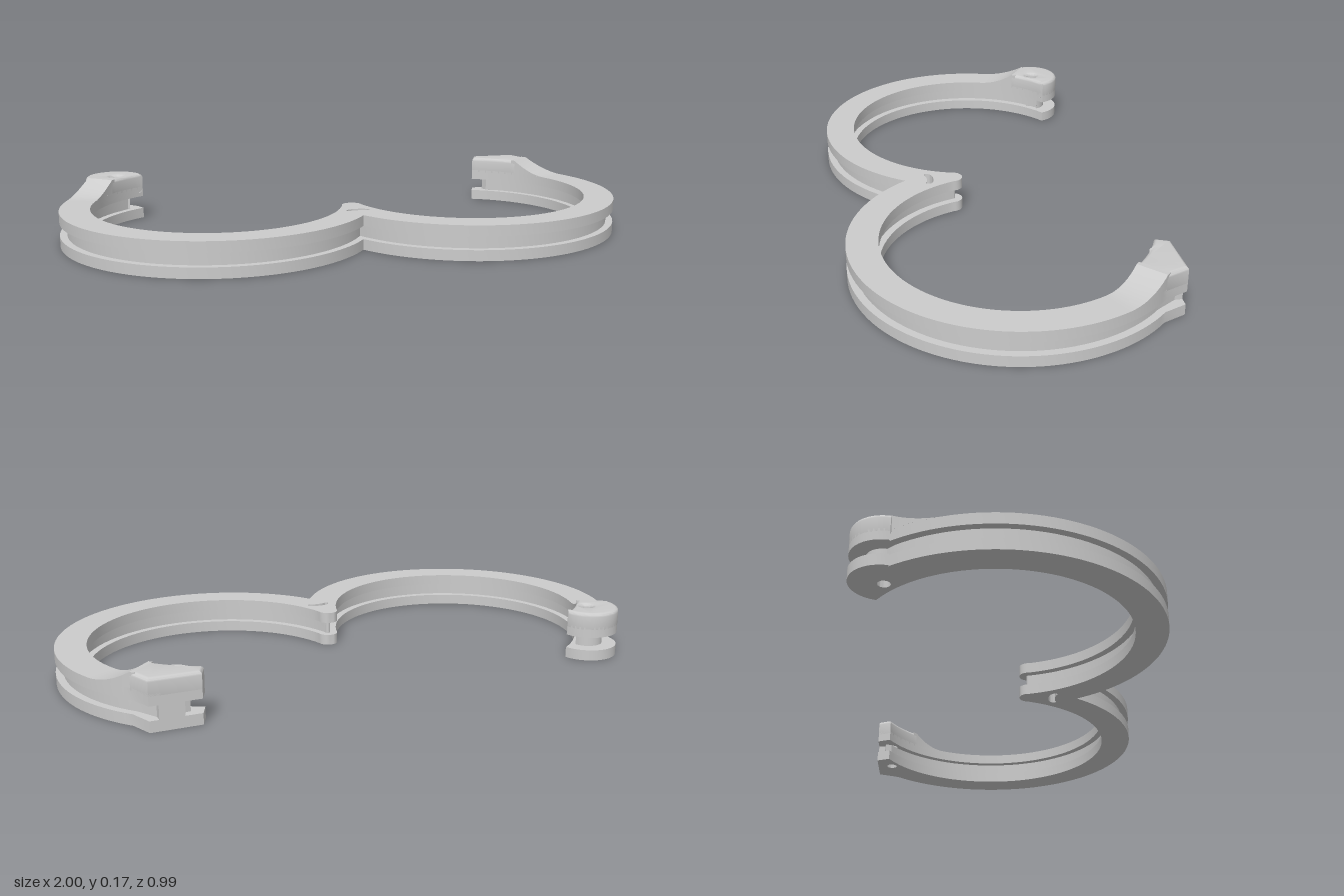
import * as THREE from 'three';
import { toCreasedNormals } from 'three/addons/utils/BufferGeometryUtils.js';

const CX = 0.455, CZ = -0.05, OUTER = 0.545, INNER = 0.44;
const LEVELS = [0, 0.037, 0.083, 0.12];
const HEAD_TOP = 0.17;
const ROUND_HOLE = [-0.795, -0.388], SQUARE_HOLE = [0.72, -0.445];
const rad = THREE.MathUtils.degToRad;
const material = new THREE.MeshStandardMaterial({ color: 0xcccccc });

// Points along an arc in the ground plane (x, z), angles in degrees
function arc(cx, cz, r, from, to, n) {
  return Array.from({ length: n + 1 }, (_, i) => {
    const a = rad(from + (to - from) * i / n);
    return new THREE.Vector2(cx + r * Math.cos(a), cz + r * Math.sin(a));
  });
}
const points = list => list.map(([x, z]) => new THREE.Vector2(x, z));

function drill(shape, [x, z], r) {
  shape.holes.push(new THREE.Path().absarc(x, z, r, 0, Math.PI * 2, true));
}

// Outline of both rings, drawn in by d on the curved sides
function ringShape(d, squareEnd, squareAngle) {
  const ro = OUTER - d, ri = INNER + d;
  const cusp = THREE.MathUtils.radToDeg(Math.acos(CX / ro));
  const tip = THREE.MathUtils.radToDeg(Math.asin(0.13 / ri));
  const tipR = CX - ri * Math.cos(rad(tip));
  const pts = [
    ...arc(-CX, CZ, ro, cusp, 216, 64),
    ...arc(-0.8, -0.39, 0.105 - 2 * d, 168, 345, 20),
    ...arc(-CX, CZ, ri, 236.7 - 270 * d, tip, 64),
    ...arc(0, 0.08, tipR, 185, 355, 12),
    ...arc(CX, CZ, ri, 180 - tip, squareAngle, 64),
    ...points(squareEnd),
    ...arc(CX, CZ, ro, -43.5, 180 - cusp, 64).slice(0, -1)
  ];
  const shape = new THREE.Shape(pts);
  drill(shape, ROUND_HOLE, 0.02);
  drill(shape, SQUARE_HOLE, 0.02);
  // Crescent slot behind the cusp
  const w = d > 0 ? 0.026 : 0.04;
  const slot = new THREE.Path();
  slot.moveTo(-w, 0.174);
  slot.quadraticCurveTo(-w, 0.149, 0, 0.149);
  slot.quadraticCurveTo(w, 0.149, w, 0.174);
  slot.quadraticCurveTo(w * 0.8, 0.182, w * 0.6, 0.175);
  slot.quadraticCurveTo(0, 0.169, -w * 0.6, 0.175);
  slot.quadraticCurveTo(-w * 0.8, 0.182, -w, 0.174);
  shape.holes.push(slot);
  return shape;
}

// Extrude a ground-plane shape between two heights, optionally with rounded edges
function slab(name, shape, y0, y1, bevel = 0) {
  const geo = new THREE.ExtrudeGeometry(shape, {
    depth: y1 - y0 - 2 * bevel, curveSegments: 16,
    bevelEnabled: bevel > 0, bevelThickness: bevel, bevelSize: bevel,
    bevelOffset: -bevel, bevelSegments: 4
  });
  geo.rotateX(Math.PI / 2);
  geo.translate(0, y1 - bevel, 0);
  const mesh = new THREE.Mesh(toCreasedNormals(geo, 0.5), material);
  mesh.name = name;
  return mesh;
}

// Concave ramp that climbs along the ring from angle a0 to a1, then runs flat for 2 degrees
function ramp(name, cx, a0, a1) {
  const dir = Math.sign(a1 - a0), end = a1 + 2 * dir;
  const geo = new THREE.BoxGeometry(1, 1, 1, 4, 1, 20);
  const pos = geo.attributes.position;
  for (let i = 0; i < pos.count; i++) {
    const t = 0.5 + dir * pos.getZ(i);
    const deg = a0 + (end - a0) * t;
    const climb = Math.min(1, (deg - a0) / (a1 - a0));
    const r = INNER + (OUTER - INNER) * (pos.getX(i) + 0.5);
    const y = LEVELS[3] + (pos.getY(i) > 0 ? (HEAD_TOP - LEVELS[3]) * climb * climb : 0);
    pos.setXYZ(i, cx + r * Math.cos(rad(deg)), y, CZ + r * Math.sin(rad(deg)));
  }
  const mesh = new THREE.Mesh(toCreasedNormals(geo, 0.5), material);
  mesh.name = name;
  return mesh;
}

export function createModel() {
  const group = new THREE.Group();
  group.name = 'doubleRingClamp';

  // Two plates with a narrower core between them, leaving grooves on both sides
  const plate = ringShape(0, [[0.655, -0.5], [0.82, -0.5]], -66);
  const core = ringShape(0.025,
    [[0.685, -0.47], [0.71, -0.475], [0.71, -0.5], [0.79, -0.5], [0.79, -0.475]], -59);
  group.add(slab('bottomPlate', plate, LEVELS[0], LEVELS[1]));
  group.add(slab('grooveCore', core, LEVELS[1], LEVELS[2]));
  group.add(slab('topPlate', plate, LEVELS[2], LEVELS[3]));

  // Raised round head at the right end
  const round = new THREE.Shape([
    ...arc(-0.8, -0.39, 0.105, 168, 345, 24),
    ...arc(-CX, CZ, INNER, 236.7, 216, 10)
  ]);
  drill(round, ROUND_HOLE, 0.022);
  group.add(slab('roundHead', round, 0.1, HEAD_TOP, 0.013));
  group.add(ramp('roundHeadRamp', -CX, 198, 216));

  // Raised square head at the left end
  const square = new THREE.Shape([
    ...arc(CX, CZ, INNER, -43, -66, 10),
    ...points([[0.655, -0.5], [0.82, -0.5]]),
    ...arc(CX, CZ, OUTER, -43.5, -43, 1)
  ]);
  drill(square, SQUARE_HOLE, 0.022);
  group.add(slab('squareHead', square, 0.1, HEAD_TOP, 0.013));
  group.add(ramp('squareHeadRamp', CX, -25, -43));

  return group;
}
